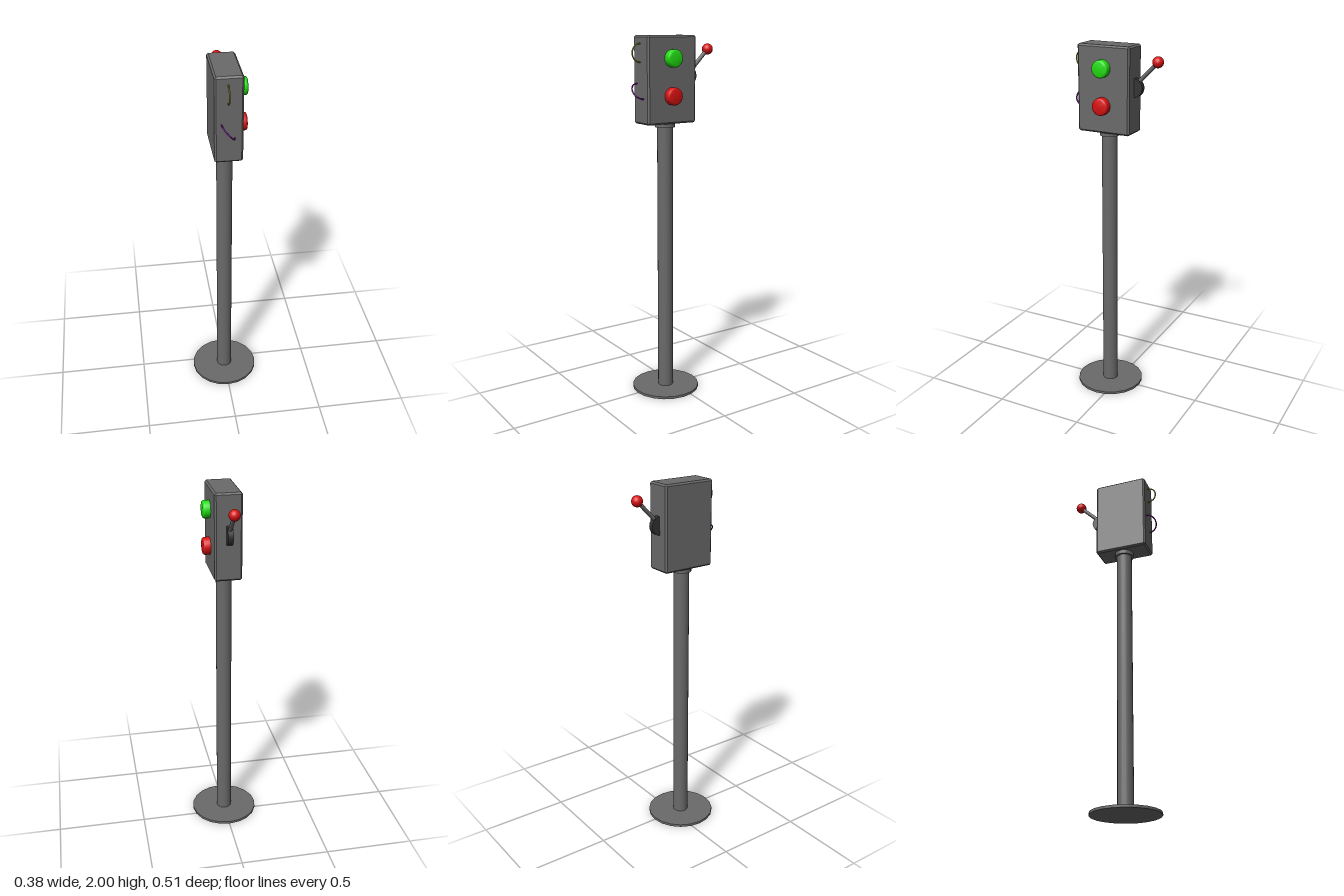
import * as THREE from 'three';
import { ConvexGeometry } from 'three/addons/geometries/ConvexGeometry.js';
import { toCreasedNormals } from 'three/addons/utils/BufferGeometryUtils.js';

const paint = (name, color, extra = {}) => {
  const m = new THREE.MeshStandardMaterial({ color, ...extra });
  m.name = name;
  return m;
};

// Box with every edge chamfered by c
function chamferBox(w, h, d, c) {
  const pts = [];
  for (const x of [-1, 1]) for (const y of [-1, 1]) for (const z of [-1, 1])
    for (let k = 0; k < 3; k++)
      pts.push(new THREE.Vector3(
        x * (w / 2 - (k === 0 ? 0 : c)),
        y * (h / 2 - (k === 1 ? 0 : c)),
        z * (d / 2 - (k === 2 ? 0 : c))));
  return new ConvexGeometry(pts);
}

export function createModel() {
  const grey = paint('grey metal', 0x6a6a6a);
  const dark = paint('dark metal', 0x333333);
  const red = paint('red', 0xd81010);
  const green = paint('green', 0x20dc10);
  const yellow = paint('yellow wire', 0x8c8410);
  const purple = paint('purple wire', 0x800c98);

  const group = new THREE.Group();
  const add = (name, geo, mat, x = 0, y = 0, z = 0) => {
    const mesh = new THREE.Mesh(geo, mat);
    mesh.name = name;
    mesh.position.set(x, y, z);
    group.add(mesh);
    return mesh;
  };
  const cx = -0.002, cz = 0.052;

  // Stand
  add('basePlate', new THREE.CylinderGeometry(0.19, 0.19, 0.014, 20), grey, cx, 0.007, cz);
  add('pole', new THREE.CylinderGeometry(0.043, 0.043, 1.505, 20), grey, cx, 0.765, cz);
  add('collar', new THREE.CylinderGeometry(0.054, 0.054, 0.03, 20), grey, cx, 1.528, cz);

  // Control box
  add('controlBox', chamferBox(0.146, 0.464, 0.304, 0.009), grey, 0, 1.768, cz);

  // Push buttons on the model's left side, with rounded rims
  const profile = [[0, 0.043], [0.036, 0.043], [0.042, 0.041], [0.046, 0.036], [0.047, 0.03], [0.047, 0]]
    .reverse().map(([r, y]) => new THREE.Vector2(r, y));
  const buttonGeo = toCreasedNormals(new THREE.LatheGeometry(profile, 24), 0.7);
  for (const [name, mat, y] of [['greenButton', green, 1.881], ['redButton', red, 1.684]])
    add(name, buttonGeo, mat, 0.069, y, 0.055).rotation.z = -Math.PI / 2;

  // Lever at the back
  add('leverHub', new THREE.CylinderGeometry(0.051, 0.051, 0.029, 16), dark, -0.003, 1.782, -0.095)
    .rotation.z = Math.PI / 2;
  const from = new THREE.Vector3(-0.003, 1.79, -0.095);
  const to = new THREE.Vector3(-0.003, 1.923, -0.228);
  const rod = add('leverRod', new THREE.CylinderGeometry(0.011, 0.011, from.distanceTo(to), 12), grey);
  rod.position.lerpVectors(from, to, 0.5);
  rod.quaternion.setFromUnitVectors(new THREE.Vector3(0, 1, 0), to.clone().sub(from).normalize());
  add('leverKnob', new THREE.SphereGeometry(0.03, 24, 16), red, to.x, to.y, to.z);

  // Wire loops: half ellipses standing out from the front face
  const wire = (name, mat, x, y, dx, dy) => {
    const pts = [new THREE.Vector3(x + dx, y + dy, 0.195)];
    for (let i = 0; i <= 8; i++) {
      const a = (i / 8) * Math.PI;
      pts.push(new THREE.Vector3(x + dx * Math.cos(a), y + dy * Math.cos(a), 0.205 + 0.047 * Math.sin(a)));
    }
    pts.push(new THREE.Vector3(x - dx, y - dy, 0.195));
    add(name, new THREE.TubeGeometry(new THREE.CatmullRomCurve3(pts), 24, 0.004, 8), mat);
  };
  wire('yellowWire', yellow, -0.005, 1.91, 0, 0.048);
  wire('purpleWire', purple, -0.005, 1.711, -0.033, 0.039);

  return group;
}
